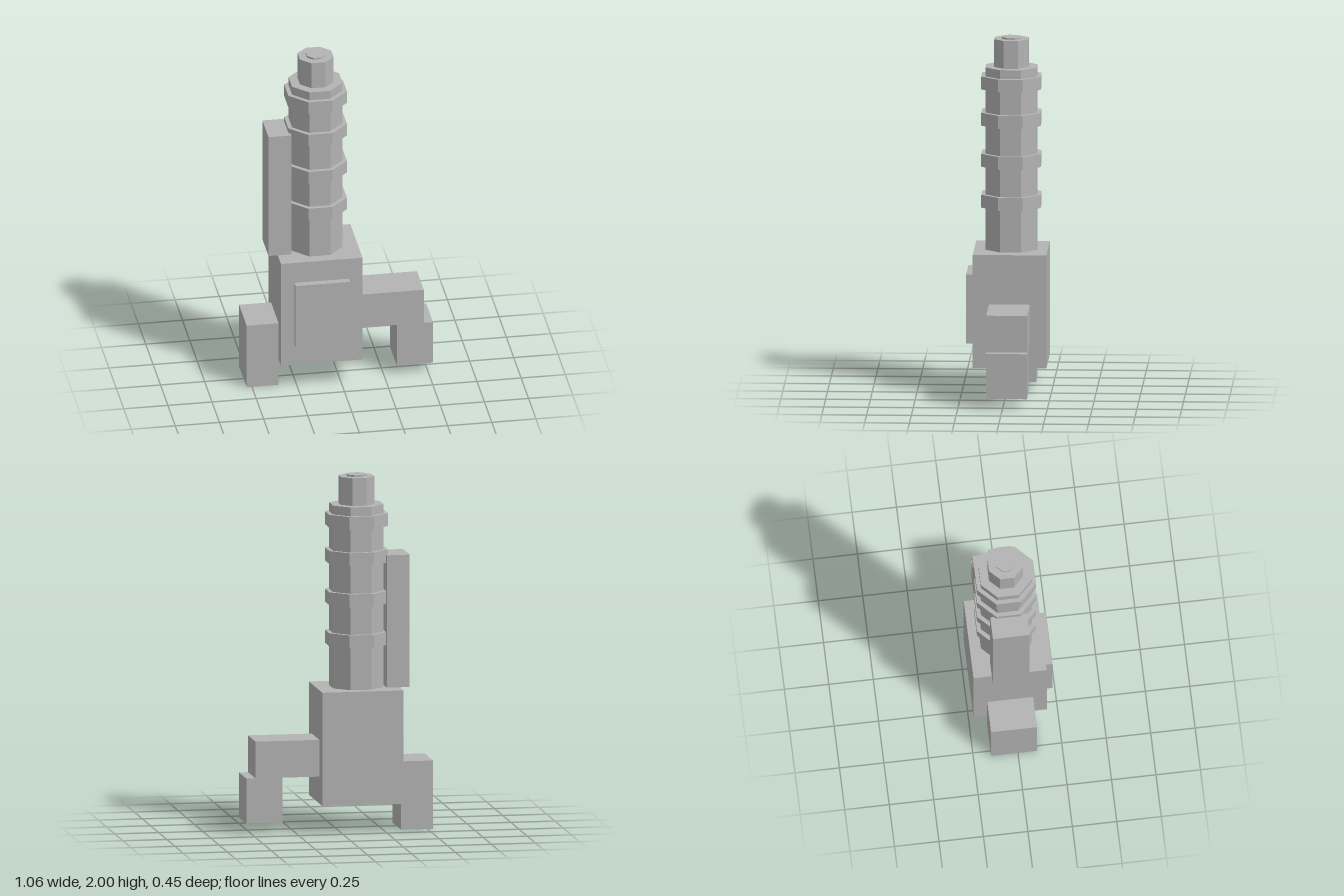
import * as THREE from 'three';

export function createModel() {
  const group = new THREE.Group();
  const grey = new THREE.MeshStandardMaterial({ color: 0xb3b3b3, flatShading: true });
  grey.name = 'plain grey';

  const add = (name, geometry, x, y, z) => {
    const mesh = new THREE.Mesh(geometry, grey);
    mesh.name = name;
    mesh.position.set(x, y, z);
    group.add(mesh);
  };

  // box given by its limits on each axis
  const box = (name, [x0, x1], [y0, y1], [z0, z1]) =>
    add(name, new THREE.BoxGeometry(x1 - x0, y1 - y0, z1 - z0),
      (x0 + x1) / 2, (y0 + y1) / 2, (z0 + z1) / 2);

  // upright octagonal prism on the barrel axis, sized to its flat sides
  const octagon = (name, apothem, y0, y1) => {
    const r = apothem / Math.cos(Math.PI / 8);
    const geometry = new THREE.CylinderGeometry(r, r, y1 - y0, 8).rotateY(Math.PI / 8);
    add(name, geometry, -0.118, (y0 + y1) / 2, -0.023);
  };

  // housing with its front panel
  box('body', [-0.349, 0.113], [0.16, 0.8], [-0.228, 0.184]);
  box('frontPanel', [-0.272, 0.037], [0.285, 0.675], [0.184, 0.224]);

  // side block and bent arm
  box('sideBlock', [-0.53, -0.349], [0, 0.387], [-0.151, 0.107]);
  box('arm', [0.113, 0.475], [0.312, 0.52], [-0.136, 0.093]);
  box('armEnd', [0.322, 0.527], [0.057, 0.312], [-0.136, 0.093]);

  // rail beside the barrel
  box('rail', [-0.402, -0.272], [0.802, 1.55], [-0.125, 0.081]);

  // barrel, rings and tip
  octagon('barrel', 0.143, 0.8, 1.833);
  for (const y of [1.04, 1.272, 1.505, 1.71]) octagon('barrelRing', 0.166, y, y + 0.073);
  octagon('barrelTip', 0.095, 1.833, 1.99);
  octagon('tipCap', 0.053, 1.99, 2);

  return group;
}
